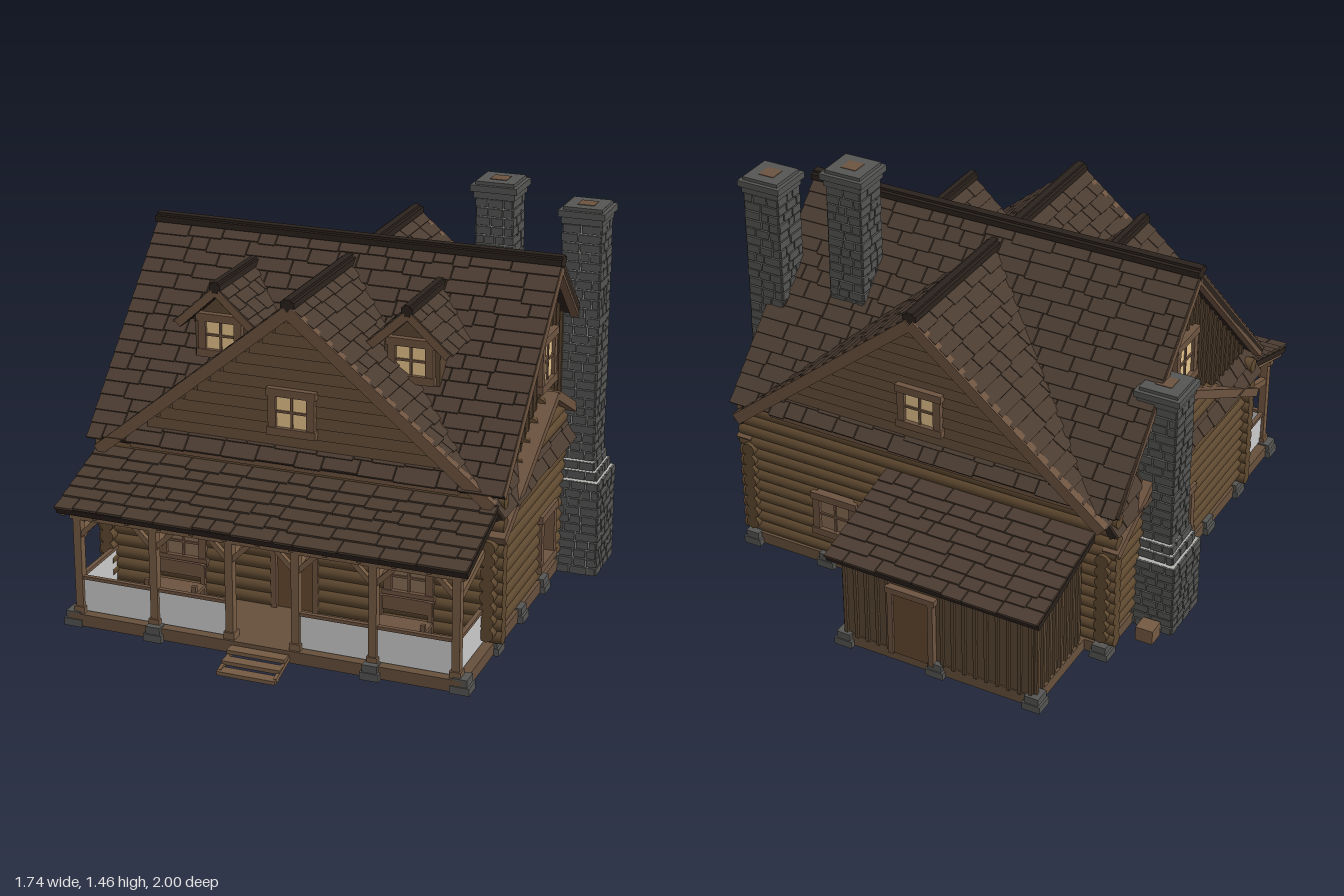
import * as THREE from 'three';
import { mergeGeometries } from 'three/addons/utils/BufferGeometryUtils.js';

const C = { shingle: 0x4b3c31, deck: 0x2b221c, log: 0x5f4930, board: 0x5a4632, trim: 0x6d5340, post: 0x755a42,
  stone: 0x555554, mortar: 0xb5b5b2, glass: 0xe6c48c, door: 0x64492f, tan: 0x876c54, base: 0x66503c };
const V = (x, y, z) => new THREE.Vector3(x, y, z);
let seed = 7;
const rnd = () => (seed = (seed * 16807) % 2147483647) / 2147483647;

function box(x0, x1, y0, y1, z0, z1) {
  return new THREE.BoxGeometry(x1 - x0, y1 - y0, z1 - z0).translate((x0 + x1) / 2, (y0 + y1) / 2, (z0 + z1) / 2);
}
function along(geo, a, b) {
  const m = new THREE.Matrix4().lookAt(b, a, V(0, 1, 0));
  return geo.applyMatrix4(m.setPosition(a.clone().add(b).multiplyScalar(0.5)));
}
const bar = (a, b, w, h) => along(new THREE.BoxGeometry(w, h, a.distanceTo(b)), a, b);
const log = (a, b, r = 0.026) => along(new THREE.CylinderGeometry(r, r, a.distanceTo(b), 10).rotateX(Math.PI / 2), a, b);
const poly = (pts, depth) => new THREE.ExtrudeGeometry(
  new THREE.Shape(pts.map(p => new THREE.Vector2(p[0], p[1]))), { depth, bevelEnabled: false });
const place = (geos, x, y, z, ry = 0) => geos.map(g => g.rotateY(ry).translate(x, y, z));

export function createModel() {
  seed = 7;
  const root = new THREE.Group();
  root.name = 'logCabin';
  function part(name, geos, color) {
    const flat = geos.map(g => (g.index ? g.toNonIndexed() : g));
    const mesh = new THREE.Mesh(mergeGeometries(flat), new THREE.MeshStandardMaterial({ color, side: THREE.DoubleSide }));
    mesh.name = name;
    root.add(mesh);
  }

  // Shingled slope: eave A-B, upper edge D-C
  function roof(name, A, B, Cc, D, row = 0.056) {
    const u = B.clone().sub(A).normalize();
    const n = u.clone().cross(D.clone().sub(A)).normalize();
    if (n.y < 0) return roof(name, B, A, D, Cc, row);
    const s = n.clone().cross(u);
    const M = new THREE.Matrix4().makeBasis(u, s, n).setPosition(A);
    const to2 = p => { const d = p.clone().sub(A); return [d.dot(u), d.dot(s)]; };
    const [a, b, c, d] = [A, B, Cc, D].map(to2);
    part(name + 'Deck', [poly([a, b, c, d], 0.022).translate(0, 0, -0.022).applyMatrix4(M)], C.deck);
    const rows = Math.round(d[1] / row), h = d[1] / rows, list = [];
    for (let i = 0; i < rows; i++) {
      const t = (i + 0.5) / rows, right = b[0] + (c[0] - b[0]) * t;
      let x = a[0] + (d[0] - a[0]) * t;
      while (right - x > 0.012) {
        let w = 0.06 + rnd() * 0.1;
        if (right - x - w < 0.04) w = right - x;
        const drop = rnd() * 0.012;
        list.push(new THREE.BoxGeometry(w - 0.004, h + drop, 0.009).rotateX(-0.11)
          .translate(x + w / 2, (i + 0.5) * h - drop / 2, 0.006).applyMatrix4(M));
        x += w;
      }
    }
    part(name + 'Shingles', list, C.shingle);
  }
  const caps = [];
  function ridge(a, b, w = 0.05) { caps.push(bar(a, b, w, 0.022), bar(a, b, w * 0.5, 0.04)); }

  // Windows, gathered by material
  const frames = [], panes = [], tanPanes = [];
  function windowAt(x, y, z, ry, w, h, pane = panes) {
    const f = [], t = 0.014;
    for (const k of [-1, 1]) {
      f.push(box(k * w / 2 - t, k * w / 2 + t, -h / 2 - t, h / 2 + t, -0.02, 0.018));
      f.push(box(-w / 2 - t * 1.4, w / 2 + t * 1.4, k * h / 2 - t, k * h / 2 + t, -0.02, 0.022));
    }
    if (pane) {
      f.push(box(-0.004, 0.004, -h / 2, h / 2, 0, 0.012), box(-w / 2, w / 2, -0.004, 0.004, 0, 0.012));
      pane.push(...place([box(-w / 2, w / 2, -h / 2, h / 2, -0.01, 0.006)], x, y, z, ry));
    }
    frames.push(...place(f, x, y, z, ry));
  }

  // Main roof, cross gables and dormers
  const RY = 1.243, EY = 0.622, EZ = 0.61;
  for (const s of [1, -1]) {
    const side = s > 0 ? 'front' : 'back', gz = s > 0 ? 0.615 : 0.64;
    roof(side + 'MainRoof', V(-0.76, EY, s * EZ), V(0.76, EY, s * EZ), V(0.76, RY, 0), V(-0.76, RY, 0));
    for (const k of [1, -1]) {
      roof(side + 'GableRoof' + (k > 0 ? 'Left' : 'Right'), V(k * 0.72, 0.585, s * gz), V(k * 0.72, 0.585, s * 0.6),
        V(0, 1.18, s * 0.05), V(0, 1.18, s * gz));
    }
    ridge(V(0, 1.188, s * 0.05), V(0, 1.188, s * gz));
  }
  ridge(V(-0.762, 1.25, 0), V(0.762, 1.25, 0), 0.06);
  const dormers = [];
  for (const x of [-0.35, 0.35]) {
    for (const k of [1, -1]) {
      roof('dormerRoof', V(x + k * 0.15, 1.01, 0.42), V(x + k * 0.15, 1.01, 0.21), V(x, 1.145, 0.08), V(x, 1.145, 0.42), 0.05);
      frames.push(bar(V(x + k * 0.145, 1.005, 0.412), V(x, 1.137, 0.412), 0.02, 0.026));
    }
    ridge(V(x, 1.152, 0.08), V(x, 1.152, 0.425), 0.04);
    dormers.push(poly([[-0.1, 0.85], [0.1, 0.85], [0.1, 1.02], [0, 1.115], [-0.1, 1.02]], 0.25).translate(x, 0, 0.12));
    windowAt(x, 0.965, 0.372, 0, 0.135, 0.13);
  }
  part('dormerWalls', dormers, C.board);
  part('ridgeCaps', caps, C.deck);

  // Gable siding: horizontal boards front and back, board and batten on the ends
  function gable(half, y0, y1, upright) {
    const g = [poly([[-half, y0], [half, y0], [0, y1]], 0.02).translate(0, 0, -0.02)];
    if (upright) {
      for (let x = -half + 0.04; x < half; x += 0.042) {
        g.push(box(x - 0.006, x + 0.006, y0, y1 - (y1 - y0) * (Math.abs(x) + 0.006) / half, 0, 0.01));
      }
    } else {
      for (let y = y0; y < y1 - 0.05; y += 0.04) {
        const w = half * (y1 - y - 0.04) / (y1 - y0);
        g.push(new THREE.BoxGeometry(w * 2, 0.04, 0.01).rotateX(-0.2).translate(0, y + 0.02, 0.003));
      }
    }
    return g;
  }
  const siding = [], trims = [];
  for (const s of [1, -1]) {
    const ry = s > 0 ? 0 : Math.PI, gz = s > 0 ? 0.605 : 0.63;
    siding.push(...place(gable(0.69, 0.59, 1.16, false), 0, 0, s * 0.565, ry));
    siding.push(...place(gable(0.59, 0.62, 1.22, true), s * 0.695, 0, 0, s * Math.PI / 2));
    windowAt(0, 0.8, s * 0.575, ry, 0.14, 0.14);
    windowAt(s * 0.705, 0.89, 0, s * Math.PI / 2, 0.14, 0.17);
    for (const k of [1, -1]) {
      trims.push(bar(V(k * 0.72, 0.575, s * gz), V(0, 1.165, s * gz), 0.03, 0.042));
      trims.push(bar(V(s * 0.745, 0.615, k * 0.6), V(s * 0.745, 1.225, 0), 0.03, 0.035));
      trims.push(bar(V(s * 0.73, 0.45, k * 0.585), V(s * 0.73, 0.765, 0), 0.06, 0.032));
    }
    trims.push(box(-0.6, 0.6, 0.6, 0.622, s * 0.585 - 0.02, s * 0.585 + 0.02));
    roof('endPentRoof', V(s * 0.75, 0.535, -0.6), V(s * 0.75, 0.535, 0.6), V(s * 0.695, 0.625, 0.6), V(s * 0.695, 0.625, -0.6), 0.05);
  }
  part('gableSiding', siding, C.board);
  part('gableTrim', trims, C.trim);

  // Log walls with notched corners and low log gables at the ends
  const logs = [], step = 0.045;
  const openings = { front: [[-0.495, -0.345, 0.195, 0.325], [-0.08, 0.08, 0, 0.31], [0.345, 0.495, 0.195, 0.325]],
    back: [[0.28, 0.43, 0.16, 0.32]], end: [[-0.075, 0.075, 0.13, 0.33]] };
  function logRow(at, half, y, holes) {
    let from = -half;
    for (const h of [...holes.filter(o => y > o[2] && y < o[3]), [half]]) {
      logs.push(log(at(from, y), at(h[0], y)));
      from = h[1];
    }
  }
  for (let i = 0; i < 15; i++) {
    const y = 0.088 + i * step, top = y + step / 2;
    if (y < 0.66) {
      logRow((t, h) => V(t, h, 0.55), y < 0.6 ? 0.75 : 0.68, y, openings.front);
      logRow((t, h) => V(t, h, -0.565), y < 0.6 ? 0.75 : 0.68, y, openings.back);
    }
    const half = top < 0.46 ? 0.605 : 0.56 * (0.775 - top) / 0.315;
    for (const s of [1, -1]) if (half > 0.05) logRow((t, h) => V(s * 0.705, h, t), half, top, openings.end);
  }
  part('logWalls', logs, C.log);
  for (const s of [1, -1]) {
    windowAt(s * 0.72, 0.23, 0, s * Math.PI / 2, 0.15, 0.19, null);
    windowAt(s * 0.42, 0.26, 0.565, 0, 0.15, 0.13, tanPanes);
  }
  windowAt(0.355, 0.24, -0.58, Math.PI, 0.15, 0.15, tanPanes);

  // Floor, skirting and stone piers
  part('floorBase', [box(-0.72, 0.72, 0.022, 0.066, -0.59, 0.87), box(-0.64, 0.11, 0.022, 0.066, -0.945, -0.58)], C.base);
  const piers = [];
  const pier = (x, z) => piers.push(box(x - 0.034, x + 0.034, 0.018, 0.045, z - 0.034, z + 0.034),
    box(x - 0.026, x + 0.026, 0.04, 0.072, z - 0.03, z + 0.03));
  for (const s of [1, -1]) for (const z of [0.84, 0.53, 0.26, 0, -0.27, -0.58]) pier(s * 0.705, z);
  for (const x of [-0.395, 0.395]) { pier(x, 0.855); pier(x, -0.575); }
  for (const x of [-0.63, -0.26, 0.1]) pier(x, -0.93);
  part('stonePiers', piers, C.stone);

  // Porch
  roof('porchRoof', V(-0.737, 0.468, 0.905), V(0.737, 0.468, 0.905), V(0.737, 0.575, 0.57), V(-0.737, 0.575, 0.57));
  const posts = [box(-0.71, 0.71, 0.415, 0.447, 0.825, 0.857)], px = [-0.685, -0.4, -0.12, 0.12, 0.395, 0.685];
  px.forEach((x, i) => {
    posts.push(box(x - 0.014, x + 0.014, 0.06, 0.43, 0.826, 0.856));
    posts.push(box(x - 0.02, x + 0.02, 0.06, 0.09, 0.82, 0.862));
    for (const k of [1, -1]) {
      if ((i > 0 || k > 0) && (i < 5 || k < 0)) posts.push(bar(V(x, 0.345, 0.841), V(x + k * 0.075, 0.42, 0.841), 0.018, 0.018));
    }
    posts.push(bar(V(x, 0.345, 0.83), V(x, 0.415, 0.57), 0.022, 0.026));
  });
  for (let i = 0; i <= 12; i++) {
    const x = -0.72 + i * 0.12;
    posts.push(bar(V(x, 0.447, 0.89), V(x, 0.54, 0.58), 0.016, 0.024));
  }
  const rails = [], panels = [];
  for (const i of [0, 1, 3, 4]) {
    rails.push(box(px[i], px[i + 1], 0.19, 0.202, 0.833, 0.849));
    panels.push(box(px[i] + 0.014, px[i + 1] - 0.014, 0.07, 0.19, 0.839, 0.843));
  }
  for (const x of [px[0], px[5]]) {
    rails.push(box(x - 0.008, x + 0.008, 0.19, 0.202, 0.57, 0.84));
    panels.push(box(x - 0.002, x + 0.002, 0.07, 0.19, 0.575, 0.828));
  }
  part('porchPosts', posts, C.post);
  part('porchRails', rails, C.trim);
  part('railingPanels', panels, 0xcccccc);
  const steps = [];
  for (let i = 0; i < 3; i++) {
    const z = 0.875 + i * 0.042, y = 0.054 - i * 0.02;
    steps.push(box(-0.105, 0.105, y - 0.014, y, z, z + 0.041));
  }
  for (const x of [-0.1, 0.1]) steps.push(bar(V(x, 0.04, 0.87), V(x, 0.008, 0.985), 0.012, 0.016));
  part('porchSteps', steps, C.post);
  const bench = [];
  for (const x of [-0.42, 0.42]) {
    bench.push(box(x - 0.1, x + 0.1, 0.115, 0.128, 0.61, 0.69), box(x - 0.1, x + 0.1, 0.15, 0.2, 0.6, 0.612));
    for (const k of [-0.09, 0.09]) bench.push(box(x + k - 0.008, x + k + 0.008, 0.066, 0.2, 0.6, 0.616), box(x + k - 0.008, x + k + 0.008, 0.066, 0.15, 0.675, 0.69));
  }
  part('porchBenches', bench, C.trim);

  // Front and shed doors
  part('doors', [box(-0.075, 0.075, 0.066, 0.305, 0.54, 0.56), box(-0.24, -0.1, 0.06, 0.33, -0.955, -0.93)], C.door);
  for (const [x, z] of [[0, 0.565], [-0.17, -0.952]]) {
    for (const k of [1, -1]) frames.push(box(x + k * 0.078 - 0.01, x + k * 0.078 + 0.01, 0.06, 0.33, z - 0.012, z + 0.012));
    frames.push(box(x - 0.095, x + 0.095, 0.315, 0.338, z - 0.014, z + 0.014));
  }

  // Back shed
  const shed = [box(-0.63, 0.1, 0.06, 0.4, -0.94, -0.6)];
  for (let x = -0.62; x < 0.1; x += 0.042) if (x < -0.26 || x > -0.08) shed.push(box(x - 0.006, x + 0.006, 0.06, 0.4, -0.95, -0.94));
  for (let z = -0.93; z < -0.6; z += 0.042) for (const x of [-0.635, 0.105]) shed.push(box(x - 0.005, x + 0.005, 0.06, 0.4, z - 0.006, z + 0.006));
  part('shedWalls', shed, C.board);
  roof('shedRoof', V(-0.67, 0.405, -0.99), V(0.14, 0.405, -0.99), V(0.14, 0.512, -0.58), V(-0.67, 0.512, -0.58));

  // Stone chimneys: mortar core wrapped in random stones
  const stones = [], mortar = [];
  function stack(cx, cz, w, d, y0, y1) {
    mortar.push(box(cx - w / 2 + 0.006, cx + w / 2 - 0.006, y0, y1 - 0.002, cz - d / 2 + 0.006, cz + d / 2 - 0.006));
    const n = Math.max(1, Math.round((y1 - y0) / 0.033)), h = (y1 - y0) / n;
    for (let i = 0; i < n; i++) for (let f = 0; f < 4; f++) {
      const len = f % 2 ? d : w, off = (f % 2 ? w : d) / 2, y = y0 + (i + 0.5) * h;
      for (let x = -len / 2; x < len / 2 - 0.001;) {
        let sw = 0.03 + rnd() * 0.04;
        if (len / 2 - x - sw < 0.025) sw = len / 2 - x;
        const g = new THREE.BoxGeometry(sw - 0.005, h - 0.005, 0.014).translate(x + sw / 2, y, off - 0.006 + rnd() * 0.003);
        stones.push(g.rotateY(f * Math.PI / 2).translate(cx, 0, cz));
        x += sw;
      }
    }
  }
  function chimneyTop(cx, cz, w, y) {
    for (const [e, a, b] of [[0.012, -0.06, -0.035], [0.022, -0.035, -0.012], [0.008, -0.012, 0]]) {
      stones.push(box(cx - w / 2 - e, cx + w / 2 + e, y + a, y + b, cz - w / 2 - e, cz + w / 2 + e));
    }
    frames.push(box(cx - 0.03, cx + 0.03, y - 0.01, y + 0.002, cz - 0.03, cz + 0.03));
  }
  for (const [x, z, top, mid] of [[0.76, -0.285, 1.38, 0.38], [-0.767, -0.265, 0.965, 0.3]]) {
    const s = Math.sign(x);
    stack(x + s * 0.008, z, 0.19, 0.22, 0.018, mid);
    stack(x + s * 0.004, z, 0.17, 0.185, mid, mid + 0.034);
    stack(x, z, 0.155, 0.165, mid + 0.034, mid + 0.067);
    stack(x, z, 0.14, 0.14, mid + 0.067, top - 0.06);
    chimneyTop(x, z, 0.125, top);
  }
  stack(0.457, -0.23, 0.135, 0.135, 0.9, 1.395);
  chimneyTop(0.457, -0.23, 0.125, 1.455);
  part('chimneyStones', stones, C.stone);
  part('chimneyMortar', mortar, C.mortar);

  part('woodCrate', [box(-0.835, -0.77, 0.02, 0.075, -0.455, -0.39)], C.post);
  part('windowFrames', frames, C.trim);
  part('litPanes', panes, C.glass);
  part('wallPanes', tanPanes, C.tan);
  return root;
}
